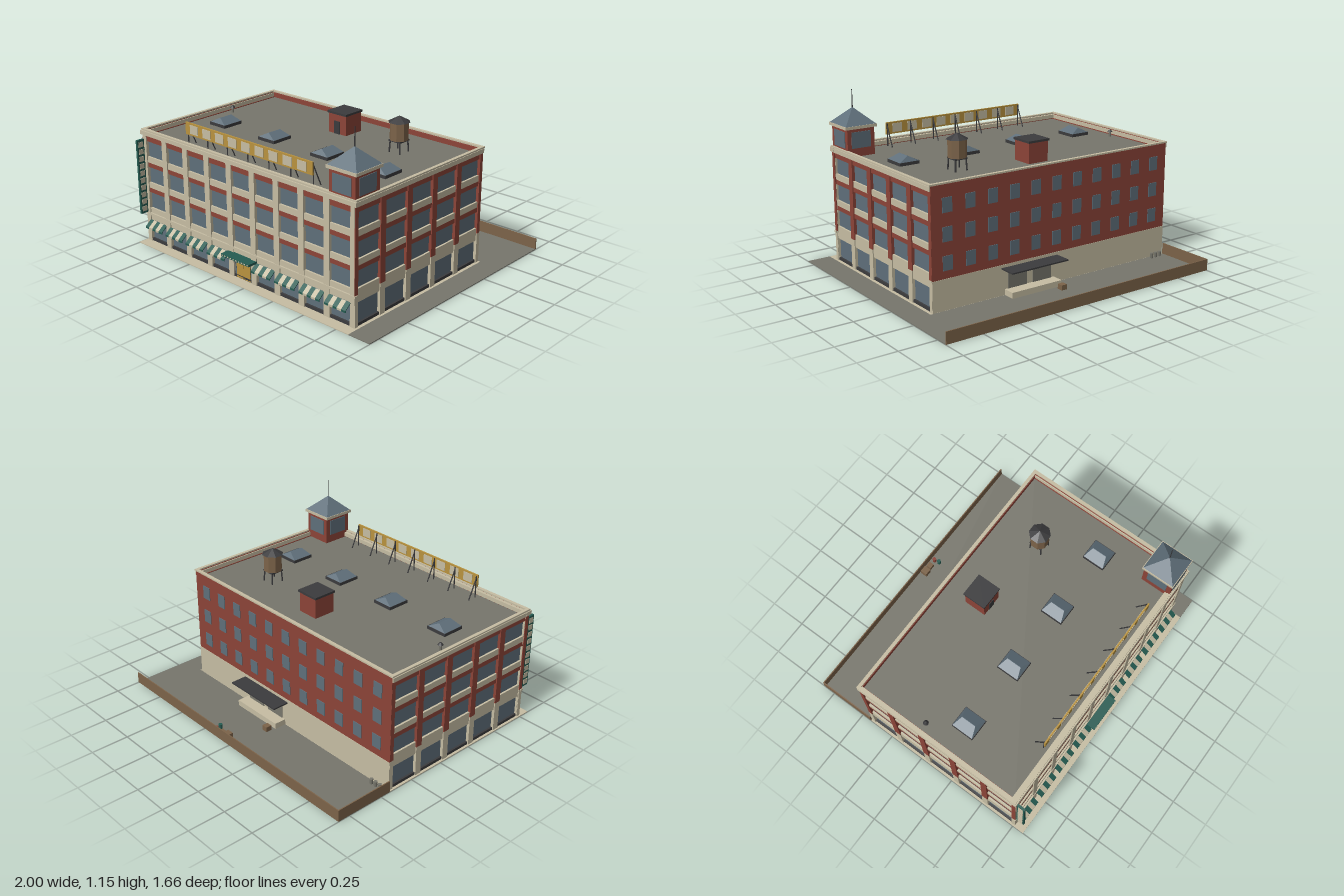
import * as THREE from 'three';

const mat = (name, color, opts = {}) => Object.assign(new THREE.MeshStandardMaterial({ color, ...opts }), { name });

export function createModel() {
  const M = {
    brick: mat('brick', 0x8c4438),
    cream: mat('cream stone', 0xc6bda3),
    glass: mat('blue grey glass', 0x5f6f7a),
    gold: mat('gold', 0xb9933f),
    green: mat('green', 0x265c52),
    dark: mat('dark metal', 0x3b3b3d),
    grey: mat('grey asphalt', 0x77766c),
    wood: mat('brown wood', 0x7c6349),
  };
  const root = new THREE.Group();
  root.name = 'warehouseBuilding';

  const group = (name, x = 0, y = 0, z = 0) => {
    const g = new THREE.Group();
    g.name = name;
    g.position.set(x, y, z);
    root.add(g);
    return g;
  };
  const add = (parent, name, geo, m, x = 0, y = 0, z = 0) => {
    const mesh = new THREE.Mesh(geo, m);
    mesh.name = name;
    mesh.position.set(x, y, z);
    parent.add(mesh);
    return mesh;
  };
  // box given by its bounds
  const box = (parent, name, m, x0, x1, y0, y1, z0, z1) =>
    add(parent, name, new THREE.BoxGeometry(x1 - x0, y1 - y0, z1 - z0), m,
      (x0 + x1) / 2, (y0 + y1) / 2, (z0 + z1) / 2);
  const cyl = (parent, name, m, rt, rb, h, n, x, y, z) =>
    add(parent, name, new THREE.CylinderGeometry(rt, rb, h, n), m, x, y + h / 2, z);
  // rectangular ring of four walls
  const ring = (parent, name, m, x0, x1, z0, z1, t, y0, y1) => {
    box(parent, name, m, x0, x1, y0, y1, z1 - t, z1);
    box(parent, name, m, x0, x1, y0, y1, z0, z0 + t);
    box(parent, name, m, x0, x0 + t, y0, y1, z0 + t, z1 - t);
    box(parent, name, m, x1 - t, x1, y0, y1, z0 + t, z1 - t);
  };
  // thin bar between two points
  const bar = (parent, name, m, a, b, r) => {
    const A = new THREE.Vector3(...a), d = new THREE.Vector3(...b).sub(A);
    const mesh = cyl(parent, name, m, r, r, d.length(), 6, 0, 0, 0);
    mesh.position.copy(A).addScaledVector(d, 0.5);
    mesh.quaternion.setFromUnitVectors(new THREE.Vector3(0, 1, 0), d.normalize());
  };

  const CX = -0.08, ROOF = 0.735;

  // ground, sidewalk and yard fence
  const site = group('site');
  box(site, 'sidewalk', M.cream, -1, 0.845, 0, 0.005, -0.43, 0.83);
  box(site, 'rearYard', M.grey, -1, 1, 0, 0.005, -0.83, -0.43);
  box(site, 'sideYard', M.grey, 0.845, 1, 0, 0.005, -0.43, 0.83);
  box(site, 'rearFence', M.wood, -1, 1, 0.002, 0.078, -0.835, -0.828);
  box(site, 'sideFence', M.wood, -1, -0.993, 0.002, 0.078, -0.828, -0.43);

  // glazed core and roof
  const body = group('body');
  box(body, 'glazing', M.glass, CX - 0.89, CX + 0.89, 0.004, 0.72, -0.41, 0.74);
  box(body, 'roofDeck', M.grey, CX - 0.895, CX + 0.895, 0.72, ROOF, -0.415, 0.745);

  // facades: horizontal bands and vertical piers over the glazing
  const bands = [
    ['base', 'dark', 0.004, 0.024], ['fascia', 'cream', 0.155, 0.24],
    ['lintel', 'brick', 0.35, 0.38], ['sill', 'cream', 0.38, 0.418],
    ['lintel', 'brick', 0.525, 0.555], ['sill', 'cream', 0.555, 0.595],
    ['lintel', 'brick', 0.7, 0.74],
  ];
  const facade = (g, half, bays, pitch, pierW, depth, upper) => {
    for (const [name, m, y0, y1] of bands) box(g, name, M[m], -half, half, y0, y1, -0.01, depth - 0.007);
    for (let i = 0; i <= bays; i++) {
      const u = (i - bays / 2) * pitch;
      const a = i === 0 ? -half : u - pierW / 2, b = i === bays ? half : u + pierW / 2;
      box(g, 'lowerPier', M.cream, a, b, 0.004, 0.205, -0.01, depth);
      box(g, 'upperPier', upper, a, b, 0.205, 0.74, -0.01, depth);
    }
  };
  const front = group('frontFacade', CX, 0, 0.74);
  facade(front, 0.905, 9, 0.199, 0.044, 0.02, M.cream);
  box(front, 'ledge', M.cream, -0.915, 0.915, 0.192, 0.206, 0, 0.024);
  box(front, 'cornice', M.cream, -0.92, 0.92, 0.742, 0.768, -0.02, 0.028);
  for (const s of [1, -1]) {
    const side = group(s > 0 ? 'leftFacade' : 'rightFacade', CX + s * 0.89, 0, 0.1665);
    side.rotation.y = s * Math.PI / 2;
    facade(side, 0.592, 5, 0.235, 0.044, 0.02, M.brick);
    box(side, 'cornice', M.cream, -0.592, 0.592, 0.738, 0.766, -0.005, 0.027);
  }

  // rear wall with small windows
  const rear = group('rearFacade');
  box(rear, 'rearWall', M.brick, CX - 0.909, CX + 0.909, 0.2, 0.766, -0.427, -0.405);
  box(rear, 'rearBase', M.cream, CX - 0.909, CX + 0.909, 0.004, 0.2, -0.429, -0.405);
  for (let i = -5; i <= 5; i++)
    for (const y of [0.295, 0.47, 0.645])
      box(rear, 'rearWindow', M.glass, CX + i * 0.16 - 0.034, CX + i * 0.16 + 0.034, y - 0.045, y + 0.045, -0.431, -0.426);

  // parapet
  const parapet = group('parapet');
  ring(parapet, 'parapetWall', M.brick, CX - 0.908, CX + 0.908, -0.426, 0.755, 0.016, 0.73, 0.77);
  ring(parapet, 'parapetCap', M.cream, CX - 0.915, CX + 0.918, -0.431, 0.76, 0.022, 0.769, 0.779);

  // striped awnings over the shop windows
  const awnings = group('awnings');
  const slope = new THREE.Shape([[0.758, 0.157], [0.802, 0.121], [0.802, 0.108], [0.798, 0.108], [0.798, 0.118], [0.758, 0.15]]
    .map(([z, y]) => new THREE.Vector2(-z, y)));
  const stripe = new THREE.ExtrudeGeometry(slope, { depth: 0.0325, bevelEnabled: false }).rotateY(Math.PI / 2);
  for (let i = -4; i <= 4; i++) {
    if (i === 0) continue;
    for (let k = 0; k < 5; k++)
      add(awnings, 'awningStripe', stripe, k % 2 ? M.cream : M.green, CX + i * 0.199 + (k - 2.5) * 0.0325, 0, 0);
  }

  // main entrance
  const entry = group('entrance');
  box(entry, 'doorFrame', M.dark, CX - 0.078, CX + 0.078, 0.005, 0.145, 0.74, 0.748);
  box(entry, 'transom', M.glass, CX - 0.07, CX + 0.07, 0.128, 0.142, 0.745, 0.75);
  for (const s of [-1, 1]) {
    box(entry, 'door', M.gold, CX + s * 0.03 - 0.029, CX + s * 0.03 + 0.029, 0.006, 0.123, 0.745, 0.753);
    box(entry, 'sidelight', M.glass, CX + s * 0.068 - 0.005, CX + s * 0.068 + 0.005, 0.01, 0.123, 0.745, 0.75);
  }
  box(entry, 'canopy', M.green, -0.203, 0.043, 0.152, 0.167, 0.75, 0.822);
  for (let i = 0; i < 10; i++)
    box(entry, 'canopyTrim', M.cream, -0.196 + i * 0.0245, -0.184 + i * 0.0245, 0.156, 0.163, 0.82, 0.824);

  // vertical blade sign at the front corner
  const blade = group('bladeSign');
  box(blade, 'bladePanel', M.green, -0.983, -0.968, 0.21, 0.715, 0.766, 0.82);
  for (let i = 0; i < 10; i++)
    box(blade, 'bladeTile', M.cream, -0.986, -0.965, 0.225 + i * 0.049, 0.259 + i * 0.049, 0.775, 0.811);
  for (const y of [0.28, 0.64]) box(blade, 'bracket', M.dark, -0.979, -0.972, y, y + 0.01, 0.75, 0.77);

  // corner tower with pyramid roof and mast
  const tower = group('cornerTower', 0.728, 0, 0.652);
  box(tower, 'towerBody', M.brick, -0.096, 0.096, ROOF, 0.915, -0.102, 0.102);
  box(tower, 'towerWindow', M.glass, -0.068, 0.068, 0.79, 0.895, -0.106, 0.106);
  box(tower, 'towerWindow', M.glass, -0.1, 0.1, 0.79, 0.895, -0.07, 0.07);
  box(tower, 'towerCornice', M.cream, -0.112, 0.112, 0.915, 0.934, -0.112, 0.112);
  const pyramid = new THREE.ConeGeometry(0.108 * Math.SQRT2, 0.102, 4, 1).rotateY(Math.PI / 4).toNonIndexed();
  pyramid.computeVertexNormals();
  add(tower, 'towerRoof', pyramid, M.glass, 0, 0.985, 0);
  cyl(tower, 'mast', M.dark, 0.0025, 0.0035, 0.13, 6, 0, 1.02, 0);

  // roof billboard on braced posts
  const sign = group('billboard');
  box(sign, 'signPanel', M.gold, -0.62, 0.462, 0.812, 0.892, 0.694, 0.704);
  for (let i = -4; i <= 4; i++)
    box(sign, 'signTile', M.cream, CX + i * 0.115 - 0.036, CX + i * 0.115 + 0.036, 0.823, 0.881, 0.691, 0.707);
  for (let i = 0; i < 7; i++) {
    const x = -0.612 + i * 0.178;
    bar(sign, 'signPost', M.dark, [x, ROOF, 0.69], [x, 0.885, 0.69], 0.004);
    bar(sign, 'signBrace', M.dark, [x, ROOF, 0.63], [x, 0.87, 0.69], 0.004);
  }

  // skylights: hipped glass on a dark curb, made by pinching a box to a ridge
  const hip = new THREE.BoxGeometry(0.136, 0.034, 0.146);
  const p = hip.attributes.position;
  for (let i = 0; i < p.count; i++)
    if (p.getY(i) > 0) p.setXYZ(i, p.getX(i) * 0.02, p.getY(i), p.getZ(i) * 0.68);
  const hipFlat = hip.toNonIndexed();
  hipFlat.computeVertexNormals();
  for (const x of [-0.76, -0.305, 0.15, 0.602]) {
    const sky = group('skylight', x, 0, 0.245);
    box(sky, 'curb', M.dark, -0.071, 0.071, ROOF - 0.003, 0.755, -0.076, 0.076);
    add(sky, 'skylightGlass', hipFlat, M.glass, 0, 0.772, 0);
  }

  // stair penthouse
  const stair = group('stairPenthouse', -0.077, 0, -0.172);
  box(stair, 'penthouseWalls', M.brick, -0.073, 0.073, ROOF - 0.003, 0.866, -0.073, 0.073);
  box(stair, 'penthouseRoof', M.dark, -0.08, 0.08, 0.866, 0.88, -0.08, 0.08);
  box(stair, 'penthouseDoor', M.dark, -0.025, 0.02, ROOF, 0.82, 0.07, 0.077);

  // water tank on legs
  const tank = group('waterTank', 0.43, 0, -0.1);
  M.flatWood = mat('brown wood', 0x7c6349, { flatShading: true });
  M.flatDark = mat('dark metal', 0x3b3b3d, { flatShading: true });
  const barrel = cyl(tank, 'tankBarrel', M.flatWood, 0.06, 0.06, 0.115, 8, 0, 0.815, 0);
  const lid = cyl(tank, 'tankRoof', M.flatDark, 0.002, 0.07, 0.037, 8, 0, 0.929, 0);
  barrel.rotation.y = lid.rotation.y = Math.PI / 8;
  box(tank, 'tankPlatform', M.dark, -0.045, 0.045, 0.806, 0.816, -0.045, 0.045);
  for (const sx of [-1, 1]) for (const sz of [-1, 1])
    bar(tank, 'tankLeg', M.dark, [sx * 0.042, ROOF, sz * 0.042], [sx * 0.038, 0.812, sz * 0.038], 0.005);

  // roof vent
  const vent = group('roofVent', -0.915, 0, 0.04);
  cyl(vent, 'ventPipe', M.grey, 0.009, 0.009, 0.035, 10, 0, ROOF, 0);
  cyl(vent, 'ventCap', M.dark, 0.006, 0.018, 0.016, 10, 0, 0.768, 0);

  // loading dock at the rear
  const dock = group('loadingDock');
  box(dock, 'dockPlatform', M.cream, -0.06, 0.315, 0.005, 0.043, -0.51, -0.425);
  box(dock, 'dockCanopy', M.dark, -0.087, 0.338, 0.172, 0.181, -0.54, -0.425);
  for (const x of [0.035, 0.22]) box(dock, 'dockDoor', M.grey, x - 0.07, x + 0.07, 0.043, 0.155, -0.434, -0.428);

  // yard clutter
  const yard = group('yardGoods');
  for (const [x, z, s] of [[0.062, -0.795, 0.048], [0.115, -0.797, 0.036], [-0.03, -0.555, 0.04]])
    box(yard, 'crate', M.wood, x - s / 2, x + s / 2, 0.004, 0.004 + s * 0.85, z - s / 2, z + s / 2);
  cyl(yard, 'drum', M.brick, 0.013, 0.013, 0.036, 12, 0.168, 0.004, -0.8);
  cyl(yard, 'drum', M.green, 0.013, 0.013, 0.036, 12, 0.175, 0.004, -0.765);
  for (const x of [-0.942, -0.907, -0.872]) cyl(yard, 'bin', M.grey, 0.012, 0.01, 0.035, 12, x, 0.004, -0.455);

  return root;
}
